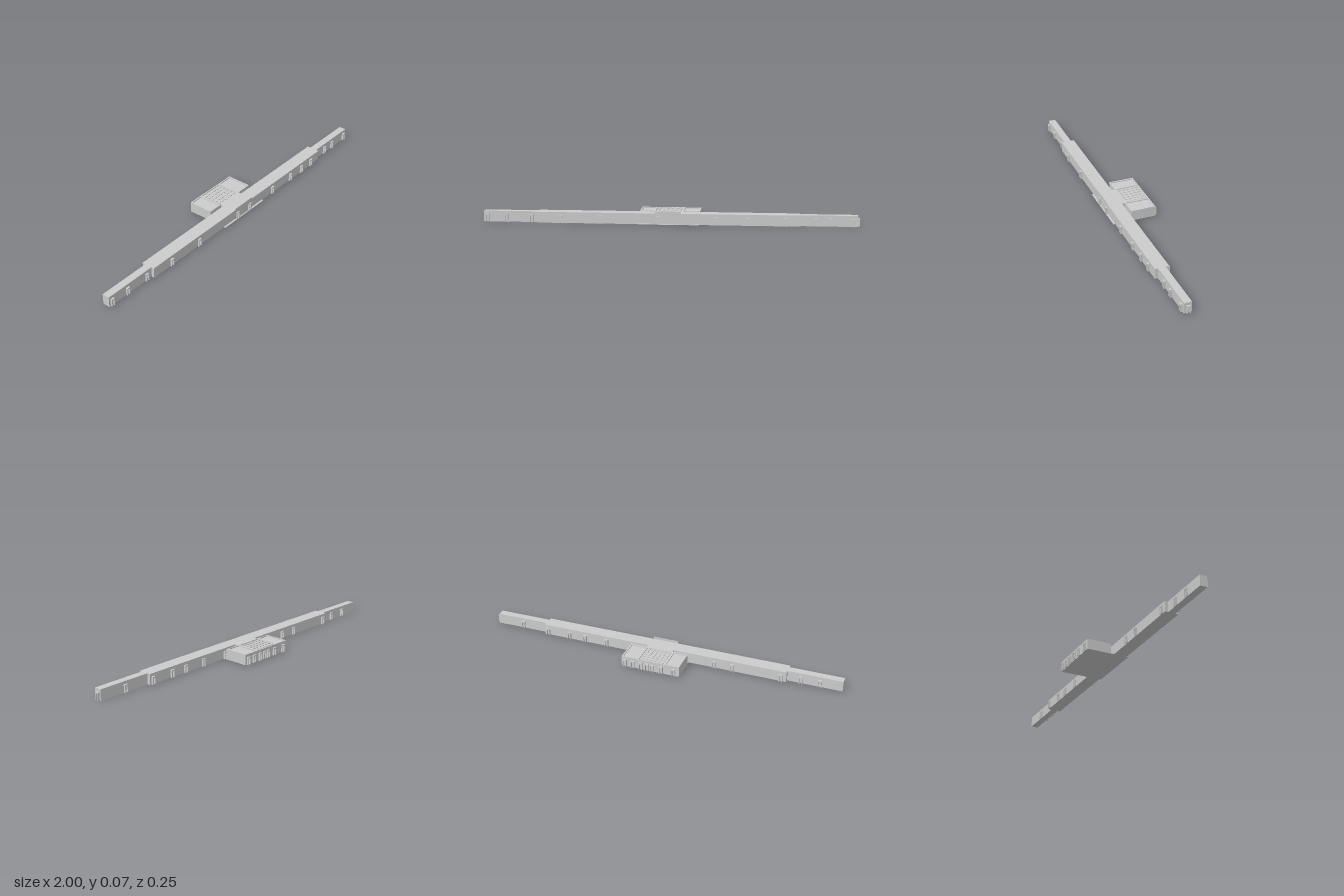
import * as THREE from 'three';

const mat = new THREE.MeshStandardMaterial({ color: 0xcccccc, flatShading: true, side: THREE.DoubleSide });
const H = 0.058;

function rect(T, x0, x1, y0, y1) {
  const s = new T();
  s.moveTo(x0, y0);
  s.lineTo(x1, y0);
  s.lineTo(x1, y1);
  s.lineTo(x0, y1);
  s.closePath();
  return s;
}

export function createModel() {
  const model = new THREE.Group();

  const add = (name, geo, parent = model) => {
    const m = new THREE.Mesh(geo, mat);
    m.name = name;
    parent.add(m);
    return m;
  };
  // Box given by its limits on each axis
  const block = (name, x0, x1, y0, y1, z0, z1, parent) => {
    const m = add(name, new THREE.BoxGeometry(x1 - x0, y1 - y0, z1 - z0), parent);
    m.position.set((x0 + x1) / 2, (y0 + y1) / 2, (z0 + z1) / 2);
    return m;
  };

  // Long hall with a narrower wing at each end
  block('mainHall', -0.705, 0.69, 0, H, 0.042, 0.116);
  block('rightWing', -1, -0.705, 0, H, 0.06, 0.1);
  block('leftWing', 0.69, 0.99, 0, H, 0.06, 0.1);

  // Rear pavilion, its link to the hall and the ground slab
  block('groundSlab', -0.165, 0.16, 0, 0.003, -0.113, 0.126);
  block('link', -0.08, 0.07, 0, H, 0.02, 0.045);
  block('rearPavilion', -0.165, 0.16, 0, H - 0.005, -0.113, 0.024);

  // Roof rim with three sunken fields (shape y becomes -z)
  const rim = rect(THREE.Shape, -0.165, 0.16, -0.024, 0.113);
  for (const [a, b] of [[-0.157, -0.09], [-0.08, 0.062], [0.072, 0.152]])
    rim.holes.push(rect(THREE.Path, a, b, -0.017, 0.106));
  const rimMesh = add('roofRim', new THREE.ExtrudeGeometry(rim, { depth: 0.005, bevelEnabled: false }));
  rimMesh.rotation.x = -Math.PI / 2;
  rimMesh.position.y = H - 0.005;

  // Grid of skylights in the middle field
  const skylights = new THREE.Group();
  skylights.name = 'skylights';
  model.add(skylights);
  for (let i = 0; i < 6; i++)
    for (let j = 0; j < 5; j++) {
      const x = -0.068 + i * 0.0236, z = -0.092 + j * 0.0238;
      block('skylight', x - 0.007, x + 0.007, H - 0.006, H - 0.001, z - 0.007, z + 0.007, skylights);
    }

  // Door surround: an upright frame open at the bottom
  const frame = new THREE.Shape();
  [[-0.01, 0], [-0.01, 0.042], [0.01, 0.042], [0.01, 0], [0.006, 0],
    [0.006, 0.035], [-0.006, 0.035], [-0.006, 0]].forEach(([x, y], i) => (i ? frame.lineTo(x, y) : frame.moveTo(x, y)));
  const frameGeo = new THREE.ExtrudeGeometry(frame, { depth: 0.01, bevelEnabled: false });
  const doors = (name, xs, z, turn) => {
    for (const x of xs) {
      const d = add(name, frameGeo);
      d.position.set(x, 0, z);
      d.rotation.y = turn;
    }
  };
  doors('frontHallDoor', [-0.575, -0.365, 0.25, 0.415, 0.52, 0.61], 0.116, 0);
  doors('frontWingDoor', [-0.98, -0.875, -0.74, 0.77, 0.845, 0.965], 0.1, 0);
  doors('backHallDoor', [-0.675, -0.41, -0.31, 0.155, 0.315, 0.445, 0.54, 0.67], 0.042, Math.PI);
  doors('backWingDoor', [-0.88, -0.78, 0.835], 0.06, Math.PI);
  doors('pavilionDoor', [-0.135, -0.065, -0.015, 0.015, 0.05, 0.095, 0.14], -0.113, Math.PI);
  doors('endDoor', [0.99], 0.078, Math.PI / 2);

  // Thin entrance screen with two arched openings
  const screen = rect(THREE.Shape, -0.075, 0.065, 0, 0.07);
  for (const x of [-0.055, 0.045]) {
    const arch = new THREE.Path();
    arch.moveTo(x - 0.012, 0.002);
    arch.lineTo(x + 0.012, 0.002);
    arch.lineTo(x + 0.012, 0.03);
    arch.absarc(x, 0.03, 0.012, 0, Math.PI, false);
    arch.closePath();
    screen.holes.push(arch);
  }
  add('entranceScreen', new THREE.ShapeGeometry(screen, 8)).position.z = 0.12;
  doors('entranceDoor', [-0.055, 0.045], 0.116, 0);

  return model;
}
